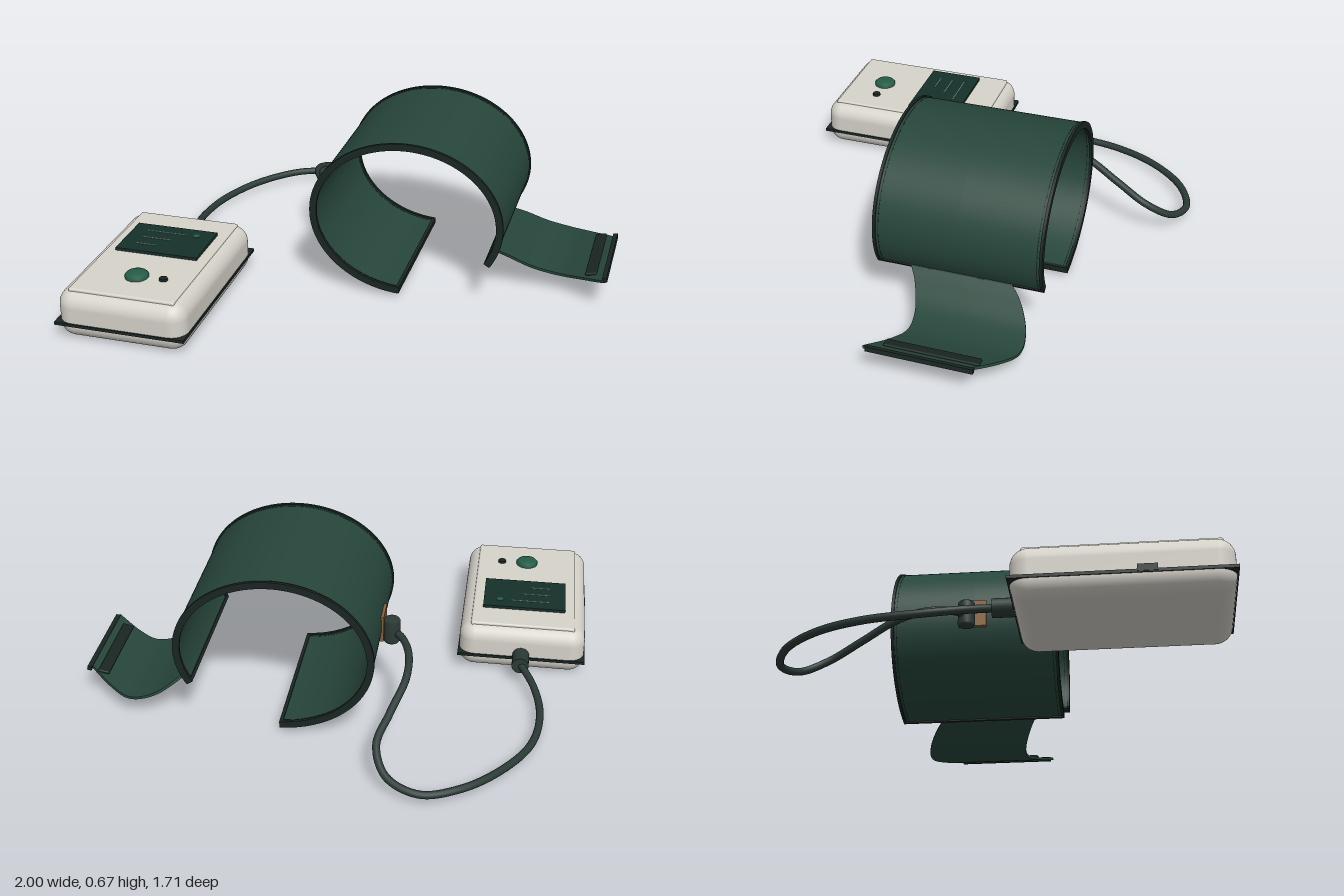
import * as THREE from 'three';
import { RoundedBoxGeometry } from 'three/addons/geometries/RoundedBoxGeometry.js';

const mat = (color) => new THREE.MeshStandardMaterial({ color });
const FABRIC = mat(0x27463b), TRIM = mat(0x1a2623), HOSE = mat(0x2b3a36), SHELL = mat(0xd6d3ca),
  SCREEN = mat(0x16302a), BUTTON = mat(0x245c47), LINE = mat(0x5d7f72), PLATE = mat(0x8a5f3a);

function add(parent, name, geometry, material, x = 0, y = 0, z = 0) {
  const mesh = new THREE.Mesh(geometry, material);
  mesh.name = name;
  mesh.position.set(x, y, z);
  parent.add(mesh);
  return mesh;
}

// Bends a flat slab along an x-y curve; centre(t) and width(t) place it across z
function bentSheet(curve, thickness, centre, width, segments) {
  const geo = new THREE.BoxGeometry(1, 1, 1, segments, 1, 2);
  const pos = geo.attributes.position;
  for (let i = 0; i < pos.count; i++) {
    const t = THREE.MathUtils.clamp(pos.getX(i) + 0.5, 0, 1);
    const p = curve.getPoint(t), d = curve.getTangent(t), off = pos.getY(i) * thickness;
    pos.setXYZ(i, p.x - d.y * off, p.y + d.x * off, centre(t) + pos.getZ(i) * width(t));
  }
  geo.computeVertexNormals();
  return geo;
}

function createMonitor() {
  const g = new THREE.Group();
  g.name = 'monitor';
  const cx = -0.735, cz = 0.465;
  add(g, 'housing', new RoundedBoxGeometry(0.52, 0.2, 0.765, 6, 0.065), SHELL, cx, 0.103, cz);
  add(g, 'topPanel', new RoundedBoxGeometry(0.43, 0.024, 0.69, 3, 0.008), SHELL, cx, 0.196, cz);
  add(g, 'housingSeam', new THREE.BoxGeometry(0.528, 0.012, 0.775), TRIM, cx, 0.071, cz);
  add(g, 'sidePort', new THREE.BoxGeometry(0.012, 0.026, 0.07), TRIM, -0.995, 0.082, 0.55);

  // Display with readout lines and an indicator
  add(g, 'screen', new THREE.BoxGeometry(0.345, 0.014, 0.23), SCREEN, cx, 0.213, 0.36);
  [[0.17, 0.3], [0.125, 0.358], [0.09, 0.415]].forEach(([w, z]) =>
    add(g, 'readoutLine', new THREE.BoxGeometry(w, 0.002, 0.005), LINE, -0.845 + w / 2, 0.2205, z));
  add(g, 'indicator', new THREE.CylinderGeometry(0.014, 0.014, 0.003, 20), BUTTON, -0.632, 0.221, 0.3);

  // Main button is a shallow dome, with a small button beside it
  const dome = [[0, 0.026], [0.025, 0.024], [0.04, 0.019], [0.046, 0.012], [0.046, 0]];
  add(g, 'mainButton', new THREE.LatheGeometry(
    dome.map(([r, y]) => new THREE.Vector2(r, y)).reverse(), 36), BUTTON, cx, 0.206, 0.655);
  add(g, 'smallButton', new THREE.CylinderGeometry(0.016, 0.017, 0.012, 24), TRIM, -0.625, 0.212, 0.655);

  // Hose socket on the back
  add(g, 'hoseSocket', new THREE.CylinderGeometry(0.035, 0.035, 0.09, 24), HOSE, cx, 0.085, 0.045)
    .rotation.x = Math.PI / 2;
  return g;
}

function createCuff() {
  const g = new THREE.Group();
  g.name = 'cuff';
  const arc = new THREE.EllipseCurve(0.205, 0.345, 0.378, 0.313, -0.48, 4.64, false);
  const back = -0.475, front = 0.19, mid = (back + front) / 2;
  add(g, 'cuffSleeve', bentSheet(arc, 0.018, () => mid, () => front - back - 0.01, 120), FABRIC);

  // Bindings and stitch lines along both round edges
  [[back, 1], [front, -1]].forEach(([z, s]) => {
    add(g, 'edgeBinding', bentSheet(arc, 0.028, () => z + s * 0.006, () => 0.012, 120), TRIM);
    add(g, 'stitchLine', bentSheet(arc, 0.0195, () => z + s * 0.022, () => 0.003, 120), TRIM);
  });
  // Bindings on the two free ends
  [0, 1].forEach((t) => {
    const p = arc.getPoint(t), d = arc.getTangent(t);
    add(g, 'endBinding', new THREE.BoxGeometry(0.014, 0.026, front - back), TRIM, p.x, p.y, mid)
      .rotation.z = Math.atan2(d.y, d.x);
  });

  // Closing strap, swaying sideways as it leaves the cuff
  const path = new THREE.SplineCurve([[0.545, 0.2], [0.6, 0.16], [0.69, 0.108], [0.79, 0.086],
    [0.88, 0.1], [0.985, 0.132]].map(([x, y]) => new THREE.Vector2(x, y)));
  const sway = new THREE.SplineCurve([-0.145, -0.19, -0.23, -0.238, -0.195, -0.118]
    .map((z, i) => new THREE.Vector2(i, z)));
  const swayAt = (t) => sway.getPoint(t).y;
  add(g, 'strap', bentSheet(path, 0.011, swayAt, (t) => 0.4 + 0.035 * Math.sin(Math.PI * t), 48), FABRIC);
  add(g, 'strapEnd', new THREE.BoxGeometry(0.018, 0.018, 0.41), TRIM, 0.988, 0.132, -0.135).rotation.z = 0.2;
  add(g, 'strapPad', new RoundedBoxGeometry(0.046, 0.012, 0.365, 2, 0.005), TRIM, 0.928, 0.124, -0.165)
    .rotation.z = 0.2;
  return g;
}

function createHose() {
  const g = new THREE.Group();
  g.name = 'airHose';
  const points = [[-0.225, 0.31, -0.165], [-0.26, 0.31, -0.2], [-0.3, 0.3, -0.3], [-0.305, 0.265, -0.42],
    [-0.26, 0.2, -0.57], [-0.225, 0.14, -0.7], [-0.275, 0.075, -0.8], [-0.4, 0.045, -0.845],
    [-0.55, 0.045, -0.79], [-0.7, 0.04, -0.64], [-0.8, 0.03, -0.45], [-0.825, 0.033, -0.25],
    [-0.795, 0.055, -0.1], [-0.735, 0.085, 0.02]];
  const curve = new THREE.CatmullRomCurve3(points.map((p) => new THREE.Vector3(...p)));
  add(g, 'hose', new THREE.TubeGeometry(curve, 160, 0.015, 14), HOSE);

  // Fitting on the side of the cuff
  add(g, 'cuffPlate', new THREE.BoxGeometry(0.018, 0.11, 0.11), PLATE, -0.181, 0.335, -0.145);
  const profile = [[0, -0.052], [0.028, -0.052], [0.034, -0.044], [0.034, 0.044], [0.028, 0.052], [0, 0.052]];
  add(g, 'cuffFitting', new THREE.LatheGeometry(
    profile.map(([r, y]) => new THREE.Vector2(r, y)), 28), HOSE, -0.219, 0.317, -0.165);
  return g;
}

export function createModel() {
  const model = new THREE.Group();
  model.name = 'bloodPressureMonitor';
  model.add(createMonitor(), createCuff(), createHose());
  return model;
}
